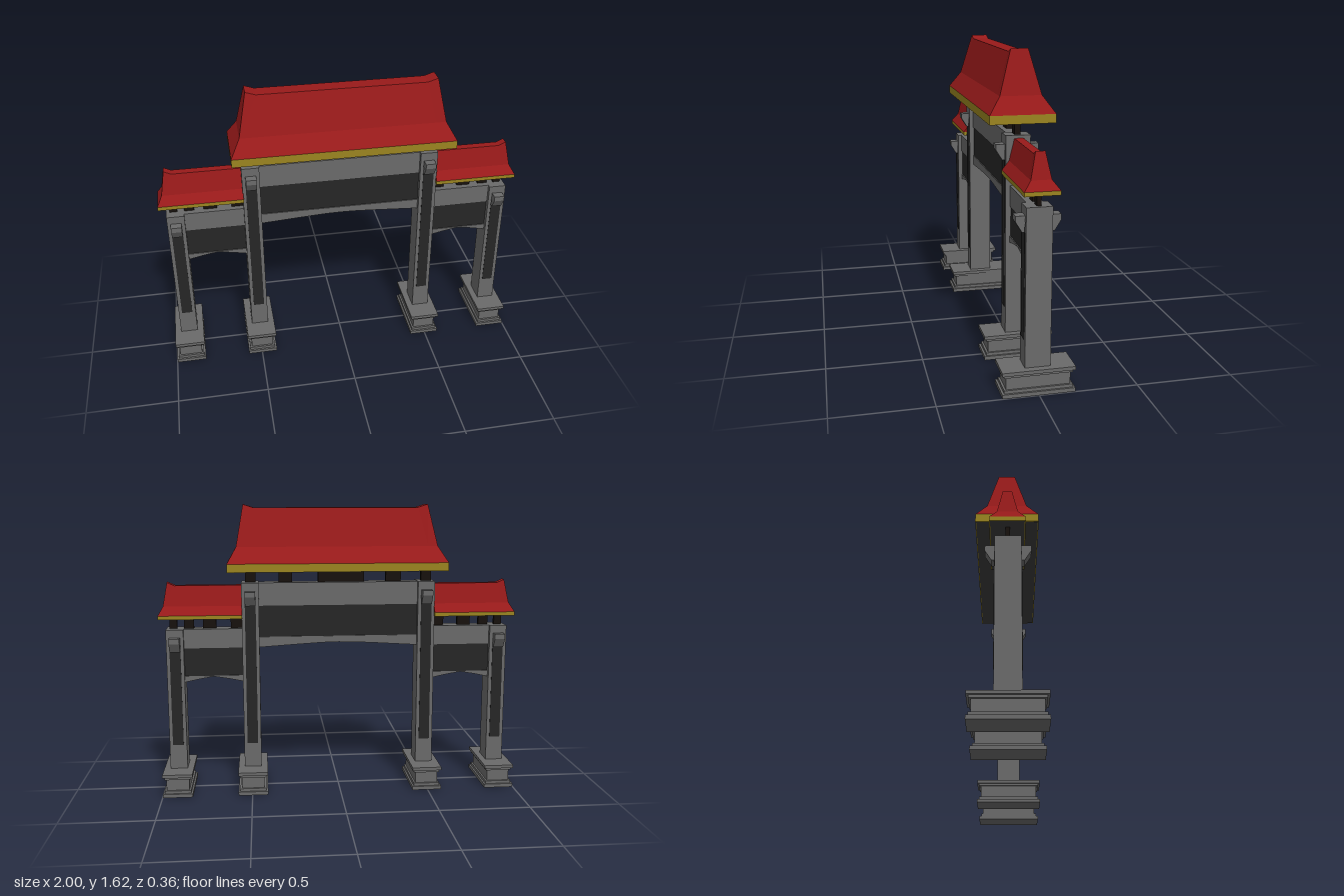
import * as THREE from 'three';

const mat = (color) => new THREE.MeshStandardMaterial({ color, flatShading: true });

export function createModel() {
  const root = new THREE.Group();
  root.name = 'ceremonialGate';
  const stone = mat(0x6a6a6a), dark = mat(0x262626), red = mat(0x981a1a);
  const gold = mat(0x9a8420), wood = mat(0x17110d), soffitMat = mat(0x3a3a3a);

  const add = (name, geo, material, parent = root) => {
    const m = new THREE.Mesh(geo, material);
    m.name = name;
    parent.add(m);
    return m;
  };
  // Box given by its limits
  const box = (name, x0, x1, y0, y1, z0, z1, material, parent) => {
    const g = new THREE.BoxGeometry(Math.abs(x1 - x0), y1 - y0, z1 - z0);
    g.translate((x0 + x1) / 2, (y0 + y1) / 2, (z0 + z1) / 2);
    return add(name, g, material, parent);
  };

  // Hipped roof from rings [x0, x1, zBack, zFront, y]; the ridge lifts at the ends
  function roofGeometry(rings, lift0, lift1, inset) {
    const pos = [];
    const quad = (a, b, c, d) => pos.push(...a, ...b, ...c, ...a, ...c, ...d);
    const point = (r, i, front) => {
      const [x0, x1, zb, zf, y] = rings[r];
      const x = [x0, x0 + inset, x1 - inset, x1][i];
      const top = r === rings.length - 1;
      return [x, y + (top && i === 0 ? lift0 : 0) + (top && i === 3 ? lift1 : 0), front ? zf : zb];
    };
    const last = rings.length - 1;
    for (let r = 0; r < last; r++) {
      for (let i = 0; i < 3; i++) {
        quad(point(r, i, 1), point(r, i + 1, 1), point(r + 1, i + 1, 1), point(r + 1, i, 1));
        quad(point(r, i + 1, 0), point(r, i, 0), point(r + 1, i, 0), point(r + 1, i + 1, 0));
      }
      quad(point(r, 3, 1), point(r, 3, 0), point(r + 1, 3, 0), point(r + 1, 3, 1));
      quad(point(r, 0, 0), point(r, 0, 1), point(r + 1, 0, 1), point(r + 1, 0, 0));
    }
    for (let i = 0; i < 3; i++) {
      quad(point(last, i, 1), point(last, i + 1, 1), point(last, i + 1, 0), point(last, i, 0));
    }
    const g = new THREE.BufferGeometry();
    g.setAttribute('position', new THREE.Float32BufferAttribute(pos, 3));
    g.computeVertexNormals();
    return g;
  }

  // Roof with its eave band and dark underside
  function roof(name, rings, bandY, lift0, lift1, inset) {
    const group = new THREE.Group();
    group.name = name;
    root.add(group);
    const [x0, x1, zb, zf, y] = rings[0];
    add('roofTiles', roofGeometry(rings, lift0, lift1, inset), red, group);
    box('eaveBand', x0, x1, bandY, y, zb, zf, gold, group);
    box('soffit', x0 + 0.005, x1 - 0.005, bandY - 0.001, bandY + 0.005, zb + 0.005, zf - 0.005, soffitMat, group);
  }

  // Bracket passing through a post and showing on both faces
  function bracket(cx, top, parent) {
    const half = [[0.11, 0], [0.11, -0.028], [0.078, -0.08], [0.06, -0.08]];
    const pts = [...half, ...half.map(([z, y]) => [-z, y]).reverse()];
    const shape = new THREE.Shape(pts.map(([z, y]) => new THREE.Vector2(z, y + top)));
    const g = new THREE.ExtrudeGeometry(shape, { depth: 0.058, bevelEnabled: false });
    g.rotateY(-Math.PI / 2);
    g.translate(cx + 0.029, 0, 0);
    add('postBracket', g, stone, parent);
  }

  // Post on a stepped plinth, with dark inlays front and back
  const plinth = [[0, 0.02, 0.083, 0.182], [0.02, 0.036, 0.073, 0.171], [0.036, 0.1, 0.063, 0.16],
    [0.1, 0.114, 0.073, 0.171], [0.114, 0.132, 0.083, 0.182]];
  function post(name, cx, top, bracketTop) {
    const group = new THREE.Group();
    group.name = name;
    root.add(group);
    for (const [y0, y1, hx, hz] of plinth) box('plinthStep', cx - hx, cx + hx, y0, y1, -hz, hz, stone, group);
    box('postShaft', cx - 0.048, cx + 0.048, 0.13, top, -0.064, 0.064, stone, group);
    box('postInlay', cx - 0.03, cx + 0.03, 0.27, bracketTop - 0.03, -0.066, 0.066, dark, group);
    bracket(cx, bracketTop, group);
  }

  // Beam, sign panel and arched lintel between two posts
  function span(name, x0, x1, ys, rise, arch) {
    const [top, panelTop, panelBottom, bottom] = ys;
    const group = new THREE.Group();
    group.name = name;
    root.add(group);
    box('upperBeam', x0, x1, panelTop, top, -0.042, 0.042, stone, group);
    box('panel', x0, x1, panelBottom, panelTop, -0.037, 0.037, dark, group);
    const s = new THREE.Shape();
    s.moveTo(x1, panelBottom + 0.001);
    s.lineTo(x0, panelBottom + 0.001);
    for (const [t, k] of arch) s.lineTo(x0 + (x1 - x0) * t, bottom + rise * k);
    const g = new THREE.ExtrudeGeometry(s, { depth: 0.084, bevelEnabled: false });
    g.translate(0, 0, -0.042);
    add('archedLintel', g, stone, group);
  }

  // Centre bay
  span('centreSpan', -0.45, 0.45, [1.185, 1.057, 0.88, 0.822], 0.024,
    [[0, 0], [0.25, 0.6], [0.4, 0.92], [0.5, 1], [0.6, 0.92], [0.75, 0.6], [1, 0]]);
  roof('mainRoof', [
    [-0.595, 0.615, -0.175, 0.162, 1.3],
    [-0.543, 0.565, -0.114, 0.1, 1.388],
    [-0.495, 0.525, -0.052, 0.037, 1.597],
  ], 1.255, 0.018, 0.018, 0.055);
  for (const [x, h] of [[-0.5, 0.029], [-0.312, 0.043], [-0.015, 0.13], [0.297, 0.038], [0.492, 0.029]]) {
    box('mainRoofStrut', x - h, x + h, 1.18, 1.257, -0.016, 0.014, wood);
  }

  // Mirrored posts and side bays
  for (const s of [-1, 1]) {
    const side = s > 0 ? 'left' : 'right';
    const sorted = (a, b) => (s > 0 ? [a, b] : [-b, -a]);
    post(side + 'InnerPost', s * 0.495, 1.187, 1.14);
    post(side + 'OuterPost', s * 0.915, 0.93, 0.887);
    span(side + 'SideSpan', ...sorted(0.54, 0.87), [0.93, 0.822, 0.662, 0.628], 0.031,
      [[0, 0], [0.25, 0.56], [0.5, 1], [0.75, 0.56], [1, 0]]);
    roof(side + 'SideRoof', [
      [...sorted(0.54, 1), -0.09, 0.084, 1.012],
      [...sorted(0.54, 0.973), -0.053, 0.047, 1.06],
      [...sorted(0.54, 0.95), -0.026, 0.02, 1.172],
    ], 0.991, s > 0 ? 0 : 0.018, s > 0 ? 0.018 : 0, 0.04);
    for (const [x, h] of [[0.575, 0.031], [0.724, 0.037], [0.838, 0.027], [0.924, 0.021]]) {
      box(side + 'RoofStrut', s * x - h, s * x + h, 0.925, 0.993, -0.012, 0.01, wood);
    }
  }
  return root;
}
